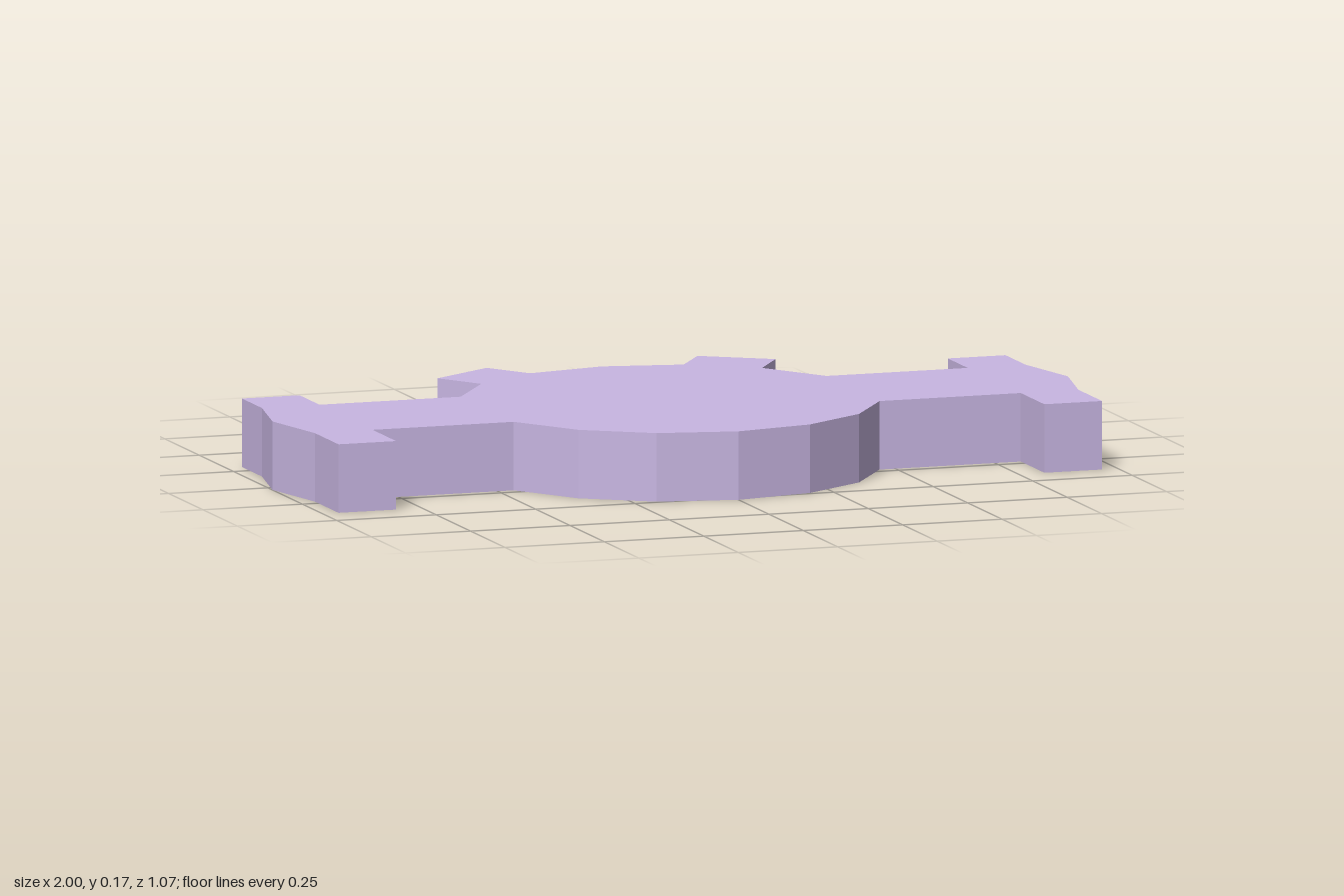
import * as THREE from 'three';

const HEIGHT = 0.165;

// Left half of the plan outline as [x, z], from back centre to front centre
const half = [
  [0, -0.465], [0.193, -0.427],                               // back of the round body
  [0.265, -0.535], [0.425, -0.43], [0.353, -0.32],            // angled back tab
  [0.46, -0.16], [0.815, -0.16],                              // back edge of the arm
  [0.815, -0.305], [0.96, -0.305], [0.96, -0.16], [1, 0.033], // end bar with pointed outer side
  [0.96, 0.225], [0.96, 0.397], [0.815, 0.397],
  [0.815, 0.225], [0.46, 0.225],                              // front edge of the arm
  [0.353, 0.385], [0.193, 0.491], [0, 0.53],                  // front of the round body
];

export function createModel() {
  const group = new THREE.Group();
  group.name = 'emblemPlate';

  // Mirror the half across x = 0 to close the outline
  const mirrored = half.slice(1, -1).reverse().map(([x, z]) => [-x, z]);
  const outline = [...half, ...mirrored].map(([x, z]) => new THREE.Vector2(x, z));

  // Lay the extrusion flat: shape y becomes z, depth runs down to the floor
  const geometry = new THREE.ExtrudeGeometry(new THREE.Shape(outline), {
    depth: HEIGHT,
    bevelEnabled: false,
  });
  geometry.rotateX(Math.PI / 2);
  geometry.translate(0, HEIGHT, 0);

  const material = new THREE.MeshStandardMaterial({ color: 0xc8b6e2, flatShading: true });
  const plate = new THREE.Mesh(geometry, material);
  plate.name = 'plate';
  group.add(plate);
  return group;
}
